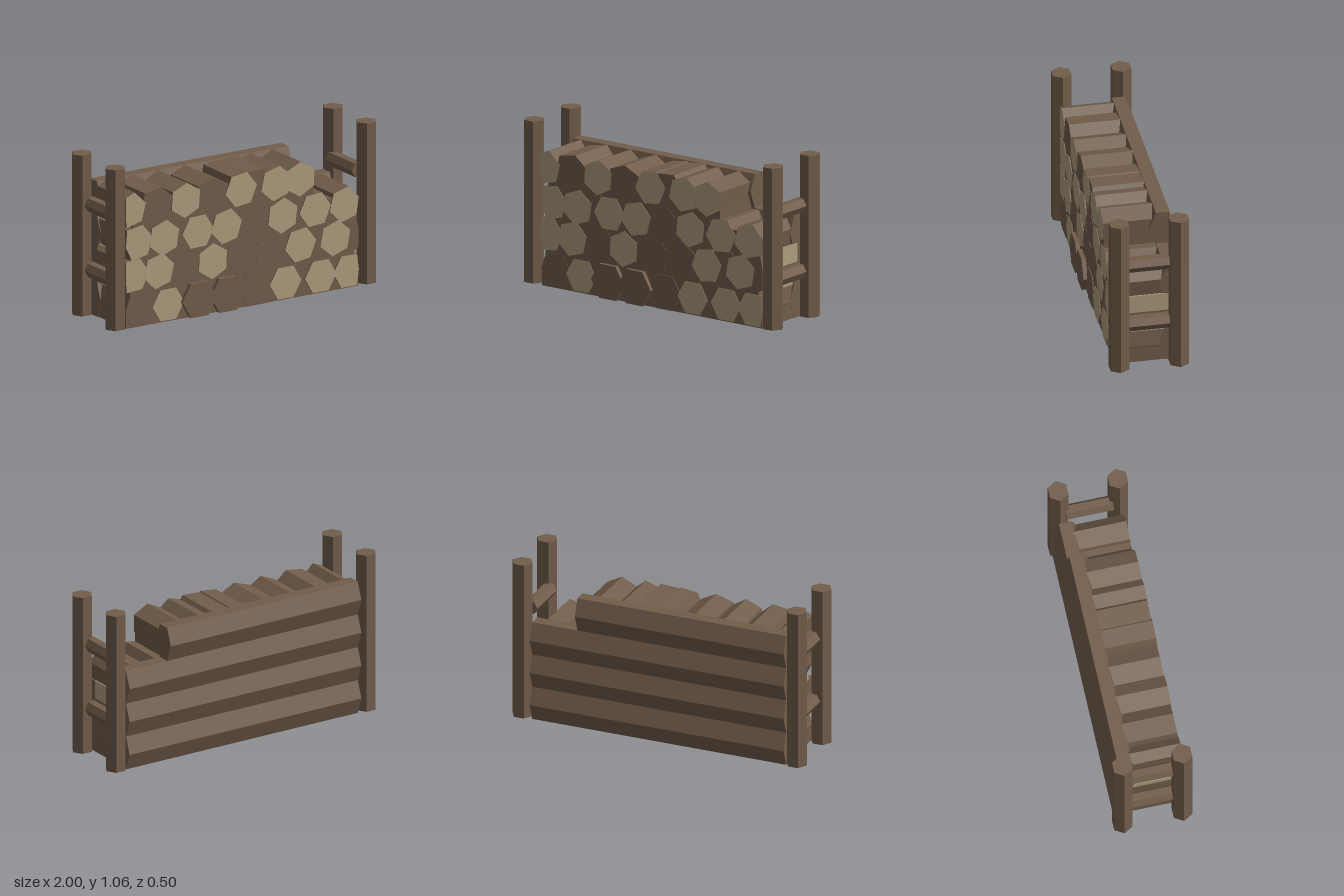
import * as THREE from 'three';

const bark = new THREE.MeshStandardMaterial({ color: 0x725d4b });
bark.name = 'brown bark';
const cutWood = new THREE.MeshStandardMaterial({ color: 0xae9d7d });
cutWood.name = 'pale cut wood';

// Six-sided bar along y
function hexBar(radius, length, turn = 0) {
  return new THREE.CylinderGeometry(radius, radius, length, 6).rotateY(turn);
}

// Adds a mesh with hard edges
function add(group, name, geometry, material, x = 0, y = 0, z = 0) {
  const flat = geometry.toNonIndexed();
  flat.computeVertexNormals();
  const mesh = new THREE.Mesh(flat, material);
  mesh.name = name;
  mesh.position.set(x, y, z);
  group.add(mesh);
}

function addGroup(parent, name) {
  const group = new THREE.Group();
  group.name = name;
  parent.add(group);
  return group;
}

// Rows of firewood from the ground up: height, x of brown-ended and pale-ended logs
const ROWS = [
  { y: 0.112, brown: [-0.76, -0.33, -0.12, 0.1], pale: [-0.55, 0.32, 0.58, 0.79] },
  { y: 0.34, brown: [-0.42, 0, 0.22, 0.57, 0.82], pale: [-0.81, -0.62, -0.22, 0.43, 0.69] },
  { y: 0.55, brown: [-0.45, 0.08], pale: [-0.78, -0.58, -0.33, -0.12, 0.3, 0.54, 0.76] },
  { y: 0.77, brown: [-0.63, -0.22, 0.12], pale: [-0.83, -0.42, -0.01, 0.25, 0.43] },
];

function addLog(group, row, x, index, isPale) {
  // Slight differences in depth keep overlapping ends clean
  const proud = row === 0 && !isPale && Math.abs(x + 0.225) < 0.12 ? 0.024 : 0;
  const front = 0.207 + (isPale ? 0.004 : 0) + (index % 4) * 0.001 + proud;
  const back = -0.13;
  const turn = row === 0 ? 0 : (index * 11 + row * 5) % 30;
  const radius = isPale ? 0.117 : 0.128;
  const geo = hexBar(radius, front - back).rotateX(Math.PI / 2);
  geo.rotateZ(THREE.MathUtils.degToRad(30 + turn));
  geo.translate(x, ROWS[row].y, (front + back) / 2);

  // Trim the log to the rack and to the step in the stack
  const top = row === 3 ? 0.88 : 0.668;
  const p = geo.attributes.position;
  for (let v = 0; v < p.count; v++) {
    p.setX(v, THREE.MathUtils.clamp(p.getX(v), -0.865, 0.862));
    p.setY(v, THREE.MathUtils.clamp(p.getY(v), 0.002, top));
  }
  add(group, 'firewoodLog', geo, [bark, isPale ? cutWood : bark, bark]);
}

export function createModel() {
  const model = new THREE.Group();
  model.name = 'firewoodRack';

  // Corner posts and the rungs joining them at each end
  const posts = addGroup(model, 'posts');
  const rungs = addGroup(model, 'rungs');
  for (const side of [-1, 1]) {
    for (const z of [-0.19, 0.19]) {
      add(posts, 'post', hexBar(0.068, 1.045, Math.PI / 6), bark, side * 0.932, 0.5375, z);
    }
    for (const y of [0.31, 0.735]) {
      const rung = hexBar(0.05, 0.3, Math.PI / 6).rotateX(Math.PI / 2);
      add(rungs, 'rung', rung, bark, side * 0.9, y, 0);
    }
  }

  // Back wall of four long logs, the top one shorter
  const wall = addGroup(model, 'backWall');
  for (let row = 0; row < 4; row++) {
    const right = row === 3 ? 0.555 : 0.862;
    const log = hexBar(0.127, right + 0.865).rotateZ(Math.PI / 2).scale(1, 1, 0.64);
    add(wall, 'wallLog', log, bark, (right - 0.865) / 2, 0.11 + row * 0.22, -0.16);
  }

  // Stacked firewood
  const stack = addGroup(model, 'firewood');
  ROWS.forEach(({ brown, pale }, row) => {
    brown.forEach((x, i) => addLog(stack, row, x, i, false));
    pale.forEach((x, i) => addLog(stack, row, x, i, true));
  });

  // Wood packed between the logs
  add(stack, 'bottomFiller', new THREE.BoxGeometry(1.72, 0.1, 0.335), bark, 0, 0.052, 0.0375);
  add(stack, 'lowerFiller', new THREE.BoxGeometry(1.66, 0.6, 0.335), bark, 0, 0.303, 0.0375);
  add(stack, 'upperFiller', new THREE.BoxGeometry(1.34, 0.23, 0.335), bark, -0.14, 0.69, 0.0375);

  // Bare pale wood showing at both ends of the stack
  for (const side of [-1, 1]) {
    add(stack, 'bareEndStrip', new THREE.BoxGeometry(0.008, 0.12, 0.3), cutWood, side * 0.86, 0.42, 0);
    add(stack, 'bareEndSliver', new THREE.BoxGeometry(0.008, 0.045, 0.3), cutWood, side * 0.85, 0.24, 0);
  }
  return model;
}
